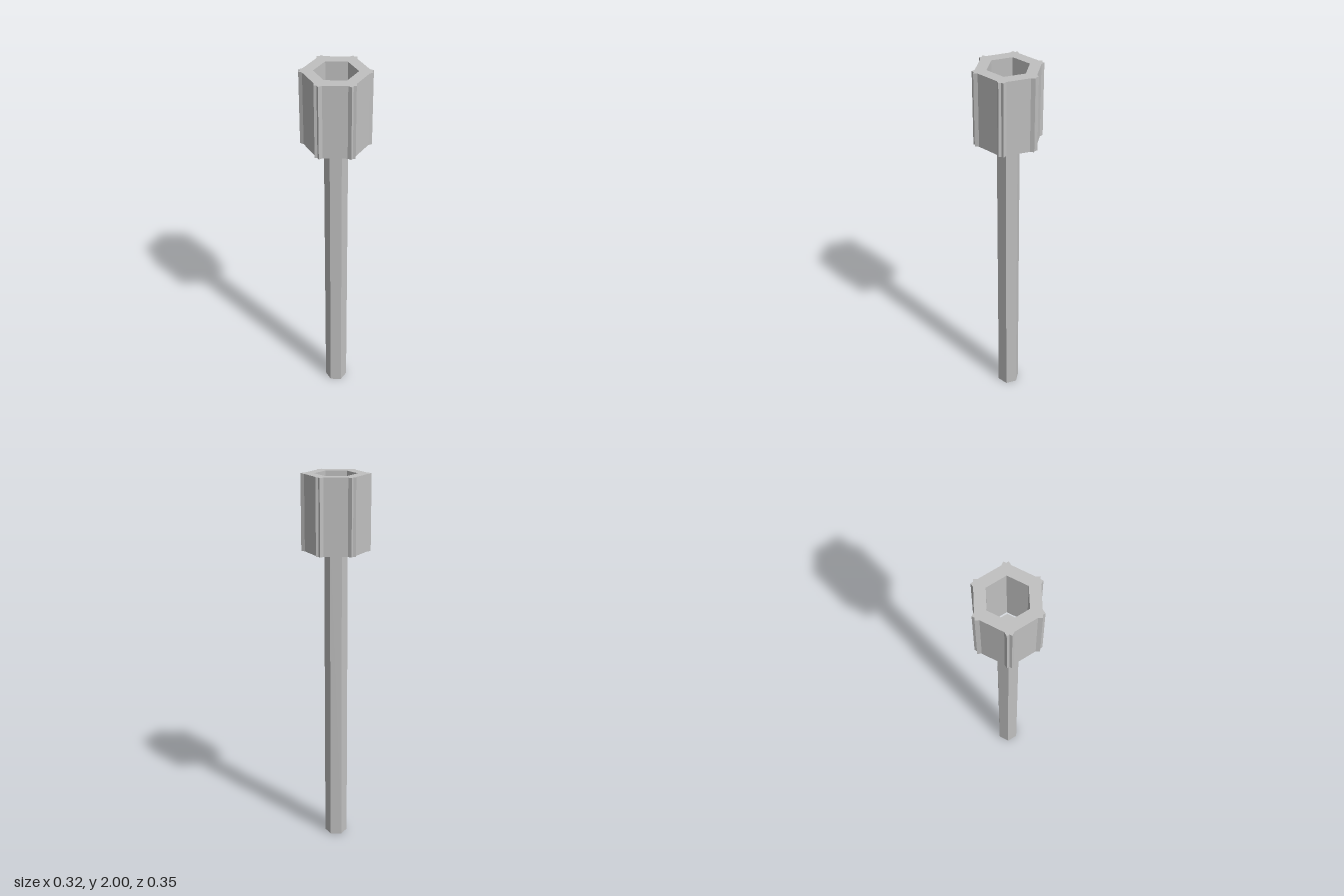
import * as THREE from 'three';

// Repeats a short run of points six times around the centre.
function sixfold(points) {
  const out = [];
  for (let i = 0; i < 6; i++) {
    for (const [x, y] of points) {
      out.push(new THREE.Vector2(x, y).rotateAround(new THREE.Vector2(), i * Math.PI / 3));
    }
  }
  return out;
}

// Upright prism from a flat outline.
function prism(shape, bottom, top) {
  const geometry = new THREE.ExtrudeGeometry(shape, { depth: top - bottom, bevelEnabled: false });
  geometry.rotateX(-Math.PI / 2);
  geometry.translate(0, bottom, 0);
  return geometry;
}

export function createModel() {
  const group = new THREE.Group();
  const grey = new THREE.MeshStandardMaterial({ color: 0xc0c0c0 });
  grey.name = 'grey';

  // Hexagonal shaft, its top hidden inside the hollow head
  const shaft = new THREE.Mesh(prism(new THREE.Shape(sixfold([[0, 0.06]])), 0, 1.7), grey);
  shaft.name = 'shaft';
  group.add(shaft);

  // Hollow head: hexagon with a twin-pointed ridge at every corner
  const outline = new THREE.Shape(sixfold([
    [0.022, 0.158], [0.012, 0.1765], [0, 0.17], [-0.012, 0.1765], [-0.022, 0.158],
  ]));
  outline.holes.push(new THREE.Path(sixfold([[0, 0.108]]).reverse()));
  const head = new THREE.Mesh(prism(outline, 1.61, 2), grey);
  head.name = 'head';
  group.add(head);

  return group;
}
